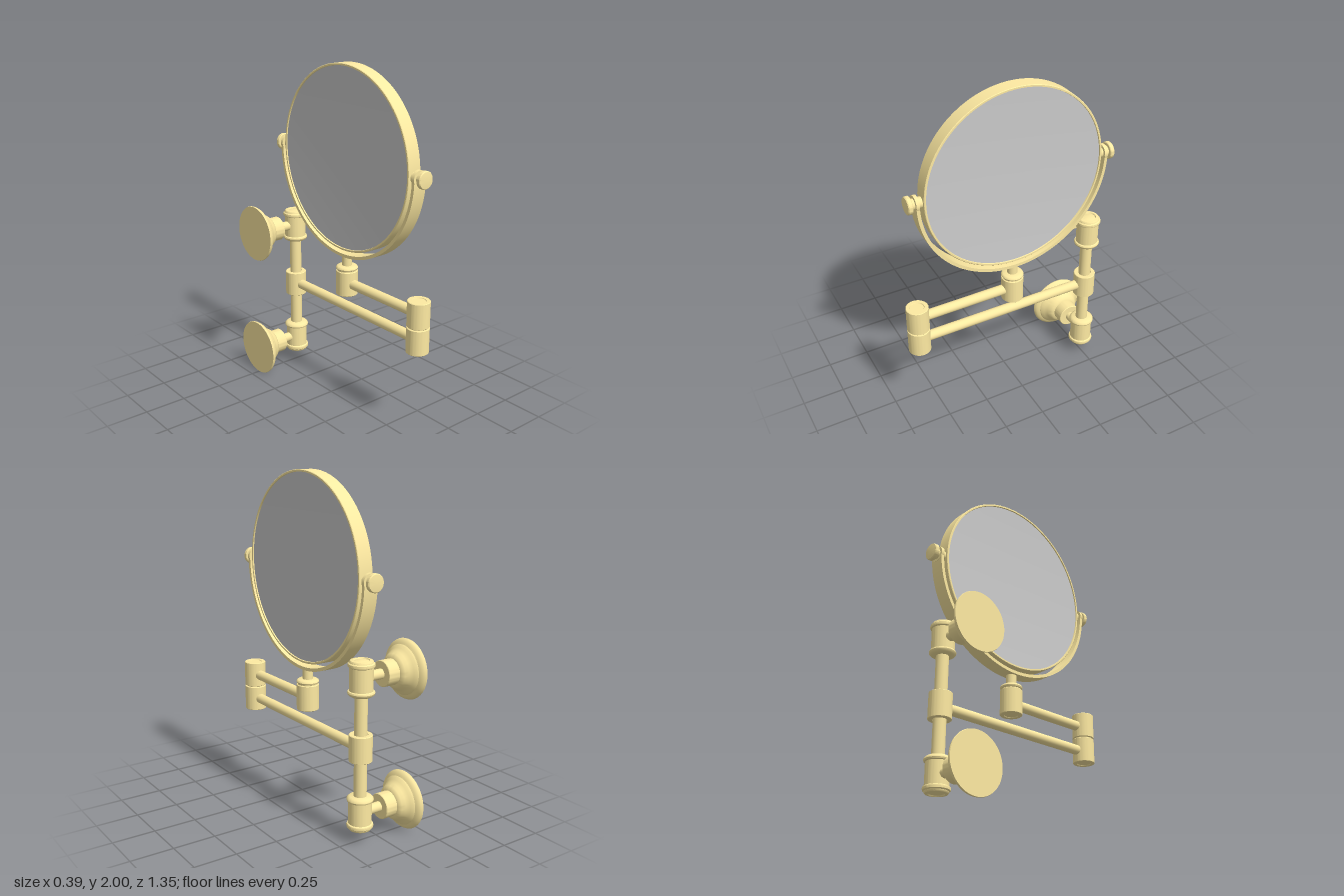
import * as THREE from 'three';
import { toCreasedNormals } from 'three/addons/utils/BufferGeometryUtils.js';

const brass = new THREE.MeshStandardMaterial({ color: 0xfeeaa2 });
const glassMaterial = new THREE.MeshStandardMaterial({ color: 0xcccccc });

const AX = 0.117;      // x of the arms, post and mirror
const POST_Z = -0.505; // wall post
const ELBOW_Z = 0.61;  // folding joint
const MIRROR_Y = 1.459;
const MIRROR_Z = 0.005;

// Turned part from [radius, height] pairs, listed bottom to top
function turned(name, profile, material = brass, segments = 64) {
  const points = profile.map(([r, h]) => new THREE.Vector2(r, h));
  const geometry = toCreasedNormals(new THREE.LatheGeometry(points, segments), 0.6);
  const mesh = new THREE.Mesh(geometry, material);
  mesh.name = name;
  return mesh;
}

// Straight round bar between two points
function bar(name, from, to, radius) {
  const a = new THREE.Vector3(...from), b = new THREE.Vector3(...to);
  const dir = b.clone().sub(a);
  const mesh = new THREE.Mesh(new THREE.CylinderGeometry(radius, radius, dir.length(), 32), brass);
  mesh.position.copy(a).add(b).multiplyScalar(0.5);
  mesh.quaternion.setFromUnitVectors(new THREE.Vector3(0, 1, 0), dir.normalize());
  mesh.name = name;
  return mesh;
}

// Joint sleeve with fine chamfers and shallow recessed ends
function sleeve(name, y, z) {
  const h = 0.076;
  const mesh = turned(name, [
    [0, -h + 0.004], [0.039, -h + 0.004], [0.041, -h], [0.062, -h], [0.065, -h + 0.003],
    [0.065, h - 0.003], [0.062, h], [0.041, h], [0.039, h - 0.004], [0, h - 0.004],
  ]);
  mesh.position.set(AX, y, z);
  return mesh;
}

// Wall flange, stem and post cap; flip = 1 puts the cap's outer end on top
function wallMount(name, y, flip) {
  const group = new THREE.Group();
  group.name = name;
  const flange = turned('wallFlange', [
    [0, -0.195], [0.169, -0.195], [0.171, -0.189], [0.168, -0.18], [0.16, -0.17],
    [0.149, -0.163], [0.141, -0.159], [0.137, -0.151], [0.123, -0.141], [0.108, -0.121],
    [0.097, -0.102], [0.086, -0.091], [0.073, -0.087], [0.073, -0.018], [0.07, -0.015], [0, -0.015],
  ]);
  flange.rotation.z = -Math.PI / 2;
  const stem = bar('flangeStem', [-0.03, 0, 0], [AX, 0, 0], 0.029);
  const cap = turned('postCap', [
    [0, -0.1], [0.058, -0.1], [0.066, -0.095], [0.073, -0.088], [0.075, -0.08],
    [0.072, -0.072], [0.065, -0.069], [0.065, 0.058], [0.072, 0.062], [0.075, 0.07],
    [0.073, 0.079], [0.066, 0.085], [0.065, 0.09], [0.06, 0.096], [0.045, 0.098],
    [0.041, 0.092], [0.03, 0.095], [0, 0.098],
  ]);
  cap.position.x = AX;
  if (flip < 0) cap.rotation.x = Math.PI;
  group.add(flange, stem, cap);
  group.position.set(0, y, POST_Z);
  return group;
}

// Framed round mirror with a slightly hollow glass on both faces
function mirror() {
  const group = new THREE.Group();
  group.name = 'mirror';
  const frame = turned('mirrorFrame', [
    [0.527, -0.034], [0.529, -0.044], [0.538, -0.044], [0.541, -0.041],
    [0.541, 0.041], [0.538, 0.044], [0.529, 0.044], [0.527, 0.034],
  ], brass, 128);
  const arc = [];
  for (let i = 0; i <= 12; i++) arc.push([0.529 * i / 12, 0.027 + 0.01 * (i / 12) ** 2]);
  const glass = turned('mirrorGlass', [
    ...arc.map(([r, h]) => [r, -h]), ...arc.reverse(),
  ], glassMaterial, 128);
  group.add(frame, glass);
  group.rotation.z = -Math.PI / 2;
  group.position.set(AX, MIRROR_Y, MIRROR_Z);
  return group;
}

// Half-ring strap holding the mirror, with a pivot and knob at each end
function yoke() {
  const group = new THREE.Group();
  group.name = 'yoke';
  const shape = new THREE.Shape();
  shape.absarc(0, 0, 0.583, Math.PI, Math.PI * 2, false);
  shape.absarc(0, 0, 0.564, Math.PI * 2, Math.PI, true);
  const geometry = new THREE.ExtrudeGeometry(shape, { depth: 0.086, bevelEnabled: false, curveSegments: 72 });
  geometry.translate(0, 0, -0.043).rotateY(-Math.PI / 2);
  const strap = new THREE.Mesh(toCreasedNormals(geometry, 0.5), brass);
  strap.name = 'yokeStrap';
  group.add(strap);
  for (const side of [-1, 1]) {
    const pivot = new THREE.Group();
    pivot.name = side > 0 ? 'frontPivot' : 'rearPivot';
    pivot.add(
      bar('yokeEar', [0, 0, 0.564], [0, 0, 0.583], 0.047),
      bar('pivotPin', [0, 0, 0.53], [0, 0, 0.61], 0.031),
    );
    const knob = turned('pivotKnob', [
      [0, 0.6], [0.046, 0.6], [0.05, 0.604], [0.05, 0.622], [0.046, 0.627], [0.03, 0.629], [0, 0.63],
    ]);
    knob.rotation.x = Math.PI / 2;
    pivot.add(knob);
    if (side < 0) pivot.rotation.y = Math.PI;
    group.add(pivot);
  }
  group.position.set(AX, MIRROR_Y, MIRROR_Z);
  return group;
}

export function createModel() {
  const model = new THREE.Group();
  model.name = 'wallMirror';

  // Wall mounts and the upright post between them
  model.add(
    wallMount('upperWallMount', 0.941, 1),
    wallMount('lowerWallMount', 0.173, -1),
    bar('post', [AX, 0.12, POST_Z], [AX, 1.0, POST_Z], 0.036),
  );

  // Folding arms and their joints
  model.add(
    sleeve('postSleeve', 0.55, POST_Z),
    bar('lowerArm', [AX, 0.549, POST_Z], [AX, 0.549, ELBOW_Z], 0.03),
    sleeve('lowerElbow', 0.55, ELBOW_Z),
    bar('elbowPin', [AX, 0.6, ELBOW_Z], [AX, 0.66, ELBOW_Z], 0.055),
    sleeve('upperElbow', 0.707, ELBOW_Z),
    bar('upperArm', [AX, 0.704, MIRROR_Z], [AX, 0.704, ELBOW_Z], 0.03),
    sleeve('swivelSleeve', 0.707, MIRROR_Z),
  );

  // Swivel collar and stem under the yoke
  const collar = turned('swivelCollar', [
    [0, 0.775], [0.058, 0.775], [0.058, 0.788], [0.063, 0.791], [0.066, 0.799],
    [0.063, 0.807], [0.056, 0.812], [0.03, 0.814], [0, 0.814],
  ]);
  collar.position.set(AX, 0, MIRROR_Z);
  model.add(collar, bar('mirrorStem', [AX, 0.8, MIRROR_Z], [AX, 0.89, MIRROR_Z], 0.03));

  model.add(yoke(), mirror());
  return model;
}
